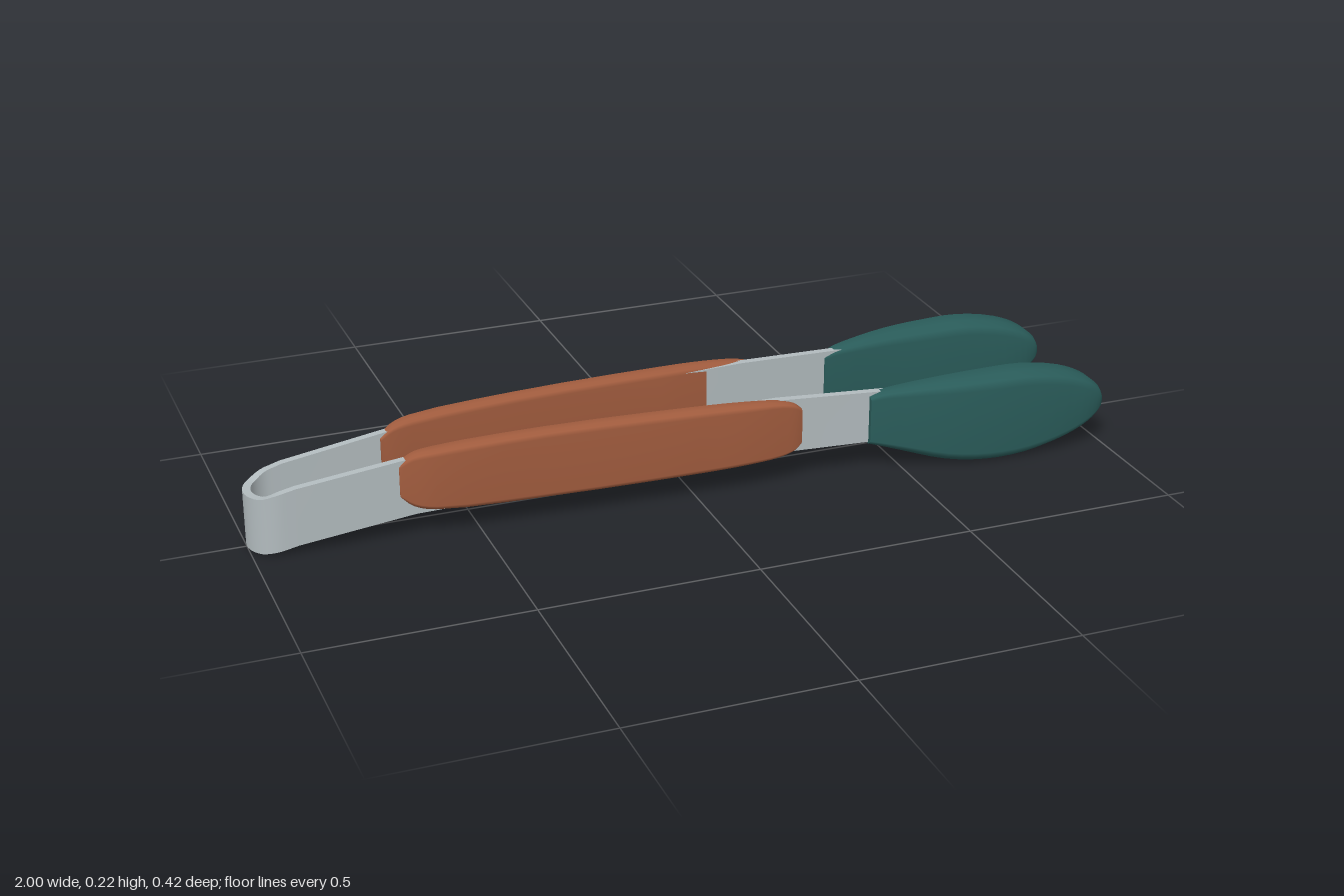
import * as THREE from 'three';

const material = (name, color, side = THREE.FrontSide) => {
  const m = new THREE.MeshStandardMaterial({ color, side });
  m.name = name;
  return m;
};

// Linear lookup in rows [x, a, b, ...] sorted by x
function sample(rows, x) {
  let i = 1;
  while (i < rows.length - 1 && rows[i][0] < x) i++;
  const a = rows[i - 1], b = rows[i];
  const t = THREE.MathUtils.clamp((x - a[0]) / (b[0] - a[0]), 0, 1);
  return a.map((v, k) => v + (b[k] - v) * t);
}

// Soft chamfered loft through sections [x, y0, y1, z0, z1]; side mirrors it in z
function loft(sections, side, chamfer) {
  const spline = new THREE.CatmullRomCurve3(sections.map(s => new THREE.Vector3(s[0], s[1], s[2])));
  const splineZ = new THREE.CatmullRomCurve3(sections.map(s => new THREE.Vector3(s[0], s[3], s[4])));
  const steps = (sections.length - 1) * 3;
  const corners = [[1, 1], [-1, 1], [-1, -1], [1, -1]];
  const pos = [], index = [], n = 12;
  const ring = i => {
    const a = spline.getPoint(i / steps), b = splineZ.getPoint(i / steps);
    const hy = (a.z - a.y) / 2, hz = (b.z - b.y) / 2;
    const cy = (a.y + a.z) / 2, cz = (b.y + b.z) / 2;
    const c = Math.min(chamfer, hy * 0.55, hz * 0.55);
    corners.forEach(([sy, sz], q) => {
      // three points per corner: chamfer ends and a slightly bulged middle
      const pts = [[0, 1], [0.4, 0.4], [1, 0]];
      if (q % 2 === 1) pts.reverse();
      for (const [dy, dz] of pts)
        pos.push(a.x, cy + sy * (hy - c * dy), side * (cz + sz * (hz - c * dz)));
    });
  };
  const tri = (a, b, c) => (side > 0 ? index.push(a, b, c) : index.push(a, c, b));
  // corner order runs +y+z, -y+z, -y-z, +y-z
  for (let i = 0; i <= steps; i++) ring(i);
  for (let i = 0; i < steps; i++)
    for (let j = 0; j < n; j++) {
      const a = i * n + j, b = i * n + (j + 1) % n;
      tri(a, b, a + n);
      tri(b, b + n, a + n);
    }
  // flat end caps with their own vertices
  for (const end of [0, steps]) {
    const base = pos.length / 3;
    ring(end);
    for (let j = 1; j < n - 1; j++)
      end ? tri(base, base + j, base + j + 1) : tri(base, base + j + 1, base + j);
  }
  const g = new THREE.BufferGeometry();
  g.setAttribute('position', new THREE.Float32BufferAttribute(pos, 3));
  g.setIndex(index);
  g.computeVertexNormals();
  return g;
}

// One metal strip folded into a U, following the centre line in plan
function springStrip() {
  const half = [];
  const r = 0.066, cx = -0.925;
  for (let i = 0; i <= 10; i++) {
    const a = (i / 10) * Math.PI / 2;
    half.push([cx - r * Math.cos(a), r * Math.sin(a)]);
  }
  half.push([-0.9, 0.068], [-0.78, 0.073], [-0.64, 0.079], [-0.3, 0.094],
    [0, 0.106], [0.2, 0.114], [0.45, 0.128], [0.5, 0.131]);
  const path = [...half.slice(1).reverse().map(([x, z]) => [x, -z]), ...half];
  // lower and upper edge of the strip along x
  const edges = [[-1, 0, 0.13], [-0.97, 0.002, 0.132], [-0.94, 0.01, 0.145], [-0.9, 0.02, 0.155],
    [-0.64, 0.055, 0.19], [-0.3, 0.068, 0.2], [0.2, 0.075, 0.205], [0.5, 0.07, 0.192]];
  const n = path.length - 1;
  const g = new THREE.BoxGeometry(1, 1, 1, n, 1, 1);
  const p = g.attributes.position;
  for (let i = 0; i < p.count; i++) {
    const k = Math.round((p.getX(i) + 0.5) * n);
    const a = path[Math.max(k - 1, 0)], b = path[Math.min(k + 1, n)];
    const len = Math.hypot(b[0] - a[0], b[1] - a[1]);
    const [x, z] = path[k], off = p.getZ(i) * 0.018;
    const [, y0, y1] = sample(edges, x);
    p.setXYZ(i, x - (b[1] - a[1]) / len * off,
      p.getY(i) > 0 ? y1 : y0,
      z + (b[0] - a[0]) / len * off);
  }
  g.computeVertexNormals();
  return g;
}

export function createModel() {
  const metal = material('brushed steel', 0xb2bbbe);
  const grip = material('terracotta grip', 0xa15c3e);
  const silicone = material('dark teal silicone', 0x2a5c5a);

  const model = new THREE.Group();
  model.name = 'tongs';
  const add = (name, geometry, mat) => {
    const mesh = new THREE.Mesh(geometry, mat);
    mesh.name = name;
    model.add(mesh);
  };

  const handle = [
    [-0.675, 0.098, 0.175, 0.064, 0.088], [-0.645, 0.075, 0.197, 0.063, 0.1],
    [-0.6, 0.064, 0.207, 0.065, 0.112], [-0.35, 0.057, 0.218, 0.077, 0.126],
    [0, 0.06, 0.216, 0.094, 0.145], [0.12, 0.064, 0.212, 0.102, 0.149],
    [0.2, 0.07, 0.205, 0.109, 0.146], [0.235, 0.08, 0.195, 0.112, 0.143],
    [0.252, 0.094, 0.182, 0.114, 0.139],
  ];
  const head = [
    [0.42, 0.068, 0.185, 0.115, 0.146], [0.45, 0.06, 0.195, 0.114, 0.157],
    [0.5, 0.045, 0.202, 0.113, 0.172], [0.6, 0.015, 0.21, 0.113, 0.195],
    [0.7, 0.001, 0.213, 0.111, 0.207], [0.8, 0.004, 0.212, 0.111, 0.211],
    [0.9, 0.026, 0.193, 0.112, 0.209], [0.96, 0.052, 0.167, 0.116, 0.204],
    [0.99, 0.075, 0.142, 0.124, 0.195], [1, 0.092, 0.122, 0.133, 0.185],
  ];

  add('springStrip', springStrip(), metal);
  for (const [side, label] of [[1, 'front'], [-1, 'back']]) {
    add(label + 'Handle', loft(handle, side, 0.022), grip);
    add(label + 'Head', loft(head, side, 0.03), silicone);
  }
  return model;
}
